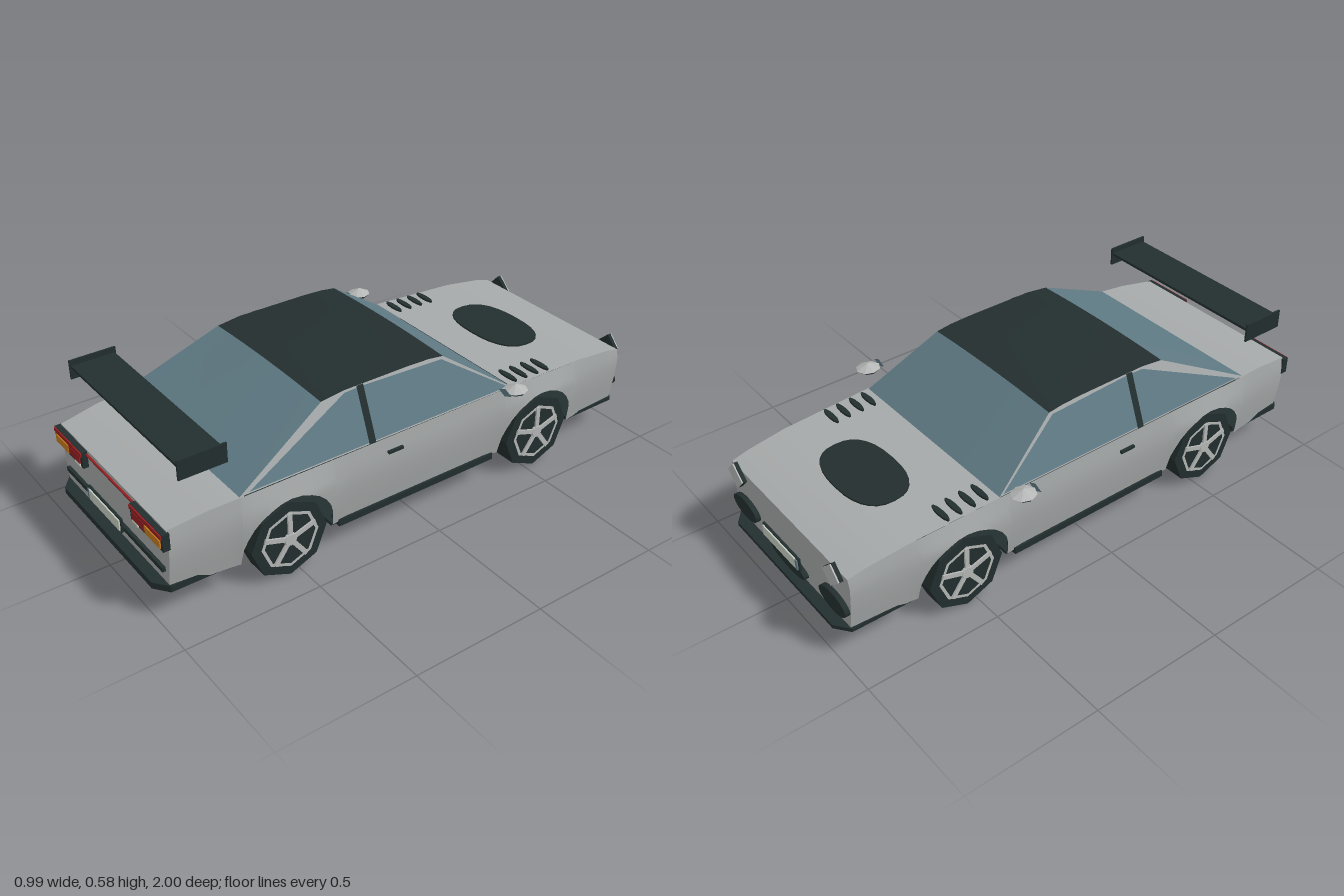
import * as THREE from 'three';

const mat = (name, color, side = THREE.FrontSide) => {
  const m = new THREE.MeshStandardMaterial({ color, side });
  m.name = name;
  return m;
};

export function createModel() {
  const car = new THREE.Group();
  car.name = 'car';
  const paint = mat('silver paint', 0xa6a9a9, THREE.DoubleSide);
  const dark = mat('dark trim', 0x232e2e, THREE.DoubleSide);
  const glass = mat('tinted glass', 0x5f7a84, THREE.DoubleSide);
  const silver = mat('light metal', 0xb4b7b5);
  const red = mat('red lens', 0x951f22);
  const orange = mat('orange lens', 0xc47a1c);
  const pale = mat('pale plate', 0xc4ccc2);

  const add = (name, geo, material, x = 0, y = 0, z = 0, parent = car) => {
    const m = new THREE.Mesh(geo, material);
    m.name = name;
    m.position.set(x, y, z);
    parent.add(m);
    return m;
  };
  // box given by its limits
  const box = (name, material, x0, x1, y0, y1, z0, z1) =>
    add(name, new THREE.BoxGeometry(Math.abs(x1 - x0), y1 - y0, z1 - z0), material,
      (x0 + x1) / 2, (y0 + y1) / 2, (z0 + z1) / 2);
  // surface of nu x nv cells from a rule (i, j) -> [x, y, z]
  const grid = (nu, nv, rule) => {
    const pos = [], idx = [];
    for (let i = 0; i <= nu; i++) for (let j = 0; j <= nv; j++) pos.push(...rule(i, j));
    for (let i = 0; i < nu; i++) for (let j = 0; j < nv; j++) {
      const a = i * (nv + 1) + j, b = a + nv + 1;
      idx.push(a, a + 1, b, b, a + 1, b + 1);
    }
    const g = new THREE.BufferGeometry();
    g.setAttribute('position', new THREE.Float32BufferAttribute(pos, 3));
    g.setIndex(idx);
    g.computeVertexNormals();
    return g;
  };
  const lerp = (pts, t) => {
    if (t <= pts[0][0]) return pts[0][1];
    for (let i = 1; i < pts.length; i++) {
      const [a, va] = pts[i - 1], [b, vb] = pts[i];
      if (t <= b) return va + (vb - va) * (t - a) / (b - a);
    }
    return pts[pts.length - 1][1];
  };

  // body rules: top line, arch cut-outs and half width
  const NOSE = -0.96, TAIL = 0.96, WHEEL = 0.54, ARCH = 0.175, SILL = 0.115;
  const topPts = [[NOSE, 0.338], [-0.9, 0.352], [-0.75, 0.37], [-0.4, 0.384], [0.71, 0.381], [0.82, 0.374], [TAIL, 0.352]];
  const widthPts = [[NOSE, 0.368], [-0.7, 0.382], [-0.4, 0.39], [0.7, 0.39], [TAIL, 0.366]];
  const topY = z => lerp(topPts, z);
  const lowY = z => {
    const d = Math.abs(Math.abs(z) - WHEEL);
    return d <= ARCH + 1e-6 ? 0.14 + Math.sqrt(Math.max(0, ARCH * ARCH - d * d)) : SILL;
  };
  const halfW = (y, z) => {
    const d = Math.abs(Math.abs(z) - WHEEL);
    const flare = 0.016 * Math.max(0, 1 - (d / 0.22) ** 2);
    const top = topY(z);
    return lerp(widthPts, z) + lerp([[SILL, -0.015 + flare * 0.6], [0.22, 0.002 + flare], [0.3, 0.008 + flare], [top, 0]], y);
  };
  const stations = [NOSE, -0.9, -0.82, -0.75, -0.3, -0.15, 0, 0.15, 0.3, 0.75, 0.82, 0.9, TAIL];
  for (const c of [-WHEEL, WHEEL]) {
    for (let k = 0; k <= 14; k++) stations.push(c + ARCH * Math.cos(k * Math.PI / 14));
    stations.push(c - ARCH - 0.002, c + ARCH + 0.002);
  }
  stations.sort((a, b) => a - b);
  for (const s of [-1, 1]) {
    add('bodySide', grid(stations.length - 1, 6, (i, j) => {
      const z = stations[i], lo = lowY(z), y = lo + (topY(z) - lo) * j / 6;
      return [s * halfW(y, z), y, z];
    }), paint);
  }
  const deck = (name, zs) => add(name, grid(zs.length - 1, 2, (i, j) =>
    [(j - 1) * halfW(topY(zs[i]), zs[i]), topY(zs[i]), zs[i]]), paint);
  deck('hood', [NOSE, -0.9, -0.82, -0.75, -0.4]);
  deck('trunkLid', [0.7, 0.71, 0.75, 0.82, 0.9, TAIL]);
  for (const [name, z] of [['nosePanel', NOSE], ['tailPanel', TAIL]]) {
    add(name, grid(6, 2, (i, j) => {
      const y = SILL + (topY(z) - SILL) * i / 6;
      return [(j - 1) * halfW(y, z), y, z];
    }), paint);
  }

  // cabin: roof and screens share one crowned top edge
  const crown = u => 0.008 * (1 - u * u);
  const roofZ = [[-0.14, 0.56], [-0.08, 0.568], [0, 0.571], [0.27, 0.571], [0.36, 0.56]];
  add('roof', grid(4, 8, (i, j) => {
    const u = j / 4 - 1;
    return [u * 0.316, roofZ[i][1] + crown(u), roofZ[i][0]];
  }), dark);
  const screen = (name, zLow, zHigh) => add(name, grid(1, 8, (i, j) => {
    const u = j / 4 - 1;
    return i ? [u * 0.316, 0.56 + crown(u), zHigh] : [u * 0.387, 0.382, zLow];
  }), glass);
  screen('windshield', -0.4, -0.14);
  screen('rearWindow', 0.715, 0.36);

  // cabin sides lean inward; polygons are given as [z, y]
  const sidePanel = (name, material, s, out, pts) => {
    const shape = new THREE.Shape(pts.map(p => new THREE.Vector2(...p)));
    const g = new THREE.ShapeGeometry(shape), p = g.attributes.position;
    for (let i = 0; i < p.count; i++) {
      const z = p.getX(i), y = p.getY(i);
      p.setXYZ(i, s * (0.387 - (y - 0.382) * 0.4 + out), y, z);
    }
    g.computeVertexNormals();
    add(name, g, material);
  };
  for (const s of [-1, 1]) {
    sidePanel('cabinSide', paint, s, 0, [[-0.4, 0.382], [0.715, 0.382], [0.36, 0.56], [0.27, 0.571], [-0.08, 0.568], [-0.14, 0.56]]);
    sidePanel('sideWindow', glass, s, 0.003, [[-0.385, 0.388], [0.68, 0.388], [0.27, 0.562], [0.2, 0.564], [-0.13, 0.553]]);
    sidePanel('doorPillar', dark, s, 0.006, [[0.195, 0.384], [0.222, 0.384], [0.222, 0.571], [0.195, 0.571]]);
    box('doorHandle', dark, s * 0.408, s * 0.418, 0.335, 0.345, 0.1, 0.16);
    box('sideSill', dark, s * 0.34, s * 0.385, 0.1, 0.125, -0.335, 0.34);
    box('floorSide', dark, s * 0.28, s * 0.365, 0.1, 0.112, -0.36, 0.36);

    // hood vents
    for (const z of [-0.59, -0.54, -0.487, -0.437]) {
      const v = add('hoodVent', new THREE.CylinderGeometry(1, 1, 1, 10), dark, s * 0.33, topY(z) + 0.002, z);
      v.scale.set(0.047, 0.012, 0.011);
    }

    // door mirror
    const mirror = new THREE.Group();
    mirror.name = 'doorMirror';
    mirror.position.set(s * 0.455, 0.42, -0.355);
    car.add(mirror);
    const shell = new THREE.SphereGeometry(1, 8, 2).toNonIndexed();
    shell.computeVertexNormals();
    add('mirrorShell', shell, silver, 0, 0, 0, mirror).scale.set(0.042, 0.021, 0.046);
    add('mirrorBase', shell, dark, 0, -0.008, 0, mirror).scale.set(0.037, 0.015, 0.036);
    add('mirrorGlass', new THREE.CircleGeometry(1, 4), glass, 0, 0.002, 0.047, mirror).scale.set(0.032, 0.015, 1);

    // tilted front lamp
    const lamp = new THREE.Group();
    lamp.name = 'frontLamp';
    lamp.position.set(s * 0.305, 0.325, -0.972);
    lamp.rotation.z = s * 0.75;
    car.add(lamp);
    add('lampBack', new THREE.BoxGeometry(0.075, 0.065, 0.014), dark, 0, 0, 0, lamp);
    add('lampLens', new THREE.BoxGeometry(0.073, 0.063, 0.006), silver, 0, 0, -0.009, lamp);

    // tail lamp cluster
    box('tailLampHousing', dark, s * 0.168, s * 0.376, 0.285, 0.347, 0.955, 0.98);
    box('turnLens', orange, s * 0.268, s * 0.364, 0.294, 0.323, 0.978, 0.985);
    box('brakeLens', red, s * 0.185, s * 0.262, 0.298, 0.328, 0.978, 0.985);
    box('upperLens', red, s * 0.17, s * 0.372, 0.33, 0.345, 0.978, 0.985);
    box('reverseLens', pale, s * 0.185, s * 0.222, 0.286, 0.295, 0.978, 0.985);

    // spoiler end plate
    box('spoilerEnd', dark, s * 0.359, s * 0.366, 0.51, 0.58, 0.735, 0.905);
  }
  box('spoilerWing', dark, -0.36, 0.36, 0.55, 0.56, 0.74, 0.9);
  box('tailLightBar', red, -0.17, 0.17, 0.332, 0.338, 0.955, 0.967);

  // hood scoop, a rounded oval lying on the sloped hood
  const oval = new THREE.Shape();
  for (let k = 0; k < 28; k++) {
    const a = k * Math.PI / 14, c = Math.cos(a), n = Math.sin(a);
    const p = [0.185 * Math.sign(c) * Math.abs(c) ** 0.8, 0.113 * Math.sign(n) * Math.abs(n) ** 0.8];
    k ? oval.lineTo(...p) : oval.moveTo(...p);
  }
  const scoop = add('hoodScoop', new THREE.ExtrudeGeometry(oval, { depth: 0.008, bevelEnabled: false }), dark, 0, 0.371, -0.665);
  scoop.rotation.x = -Math.PI / 2 - 0.04;

  // nose openings and number plates
  const opening = (name, x, y, rx, ry) => {
    const m = add(name, new THREE.CylinderGeometry(1, 1, 1, 18), dark, x, y, -0.966);
    m.rotation.x = Math.PI / 2;
    m.scale.set(rx, 0.024, ry);
  };
  opening('fogLamp', -0.283, 0.195, 0.08, 0.038);
  opening('fogLamp', 0.283, 0.195, 0.08, 0.038);
  opening('lowerIntake', 0, 0.157, 0.108, 0.026);
  for (const s of [-1, 1]) {
    const z = s * 0.99;
    box('plateFrame', dark, -0.116, 0.116, 0.204, 0.256, z - 0.004, z + 0.004);
    box('numberPlate', pale, -0.1, 0.11, 0.21, 0.25, z + s * 0.006 - 0.003, z + s * 0.006 + 0.003);
    box('plateStripe', glass, -0.111, -0.1, 0.21, 0.25, z + s * 0.006 - 0.003, z + s * 0.006 + 0.003);
  }

  // bumpers and underside
  box('rearBumperStrip', dark, -0.338, 0.338, 0.18, 0.197, 0.955, 0.972);
  const lip = new THREE.Shape([[-0.365, 0.72], [0.365, 0.72], [0.362, 0.96], [0.31, 1], [-0.31, 1], [-0.362, 0.96]]
    .map(p => new THREE.Vector2(...p)));
  for (const s of [-1, 1]) {
    const m = add(s > 0 ? 'rearBumperLip' : 'frontBumperLip',
      new THREE.ExtrudeGeometry(lip, { depth: s > 0 ? 0.024 : 0.014, bevelEnabled: false }), dark, 0, 0.112, 0);
    m.rotation.x = -Math.PI / 2;
    m.rotation.z = s > 0 ? Math.PI : 0;
  }
  box('floorPan', dark, -0.287, 0.287, 0.085, 0.112, -0.92, 0.92);

  // wheels: eight-sided tyre, metal ring and five spokes
  const tyre = new THREE.CylinderGeometry(0.145, 0.145, 0.085, 8).toNonIndexed();
  tyre.computeVertexNormals();
  const ring = new THREE.RingGeometry(0.098, 0.11, 8);
  for (const s of [-1, 1]) for (const z of [-WHEEL, WHEEL]) {
    const wheel = new THREE.Group();
    wheel.name = 'wheel';
    wheel.position.set(s * 0.348, 0.145, z);
    wheel.rotation.y = s * Math.PI / 2;
    car.add(wheel);
    add('tyre', tyre, dark, 0, 0, 0, wheel).rotation.x = Math.PI / 2;
    add('rimRing', ring, silver, 0, 0, 0.045, wheel);
    add('hub', new THREE.CylinderGeometry(0.022, 0.026, 0.01, 10), silver, 0, 0, 0.046, wheel).rotation.x = Math.PI / 2;
    for (let k = 0; k < 5; k++) {
      const a = k * Math.PI * 2 / 5 + Math.PI / 2;
      const spoke = add('spoke', new THREE.BoxGeometry(0.085, 0.017, 0.008), silver,
        Math.cos(a) * 0.06, Math.sin(a) * 0.06, 0.045, wheel);
      spoke.rotation.z = a;
    }
  }
  return car;
}
